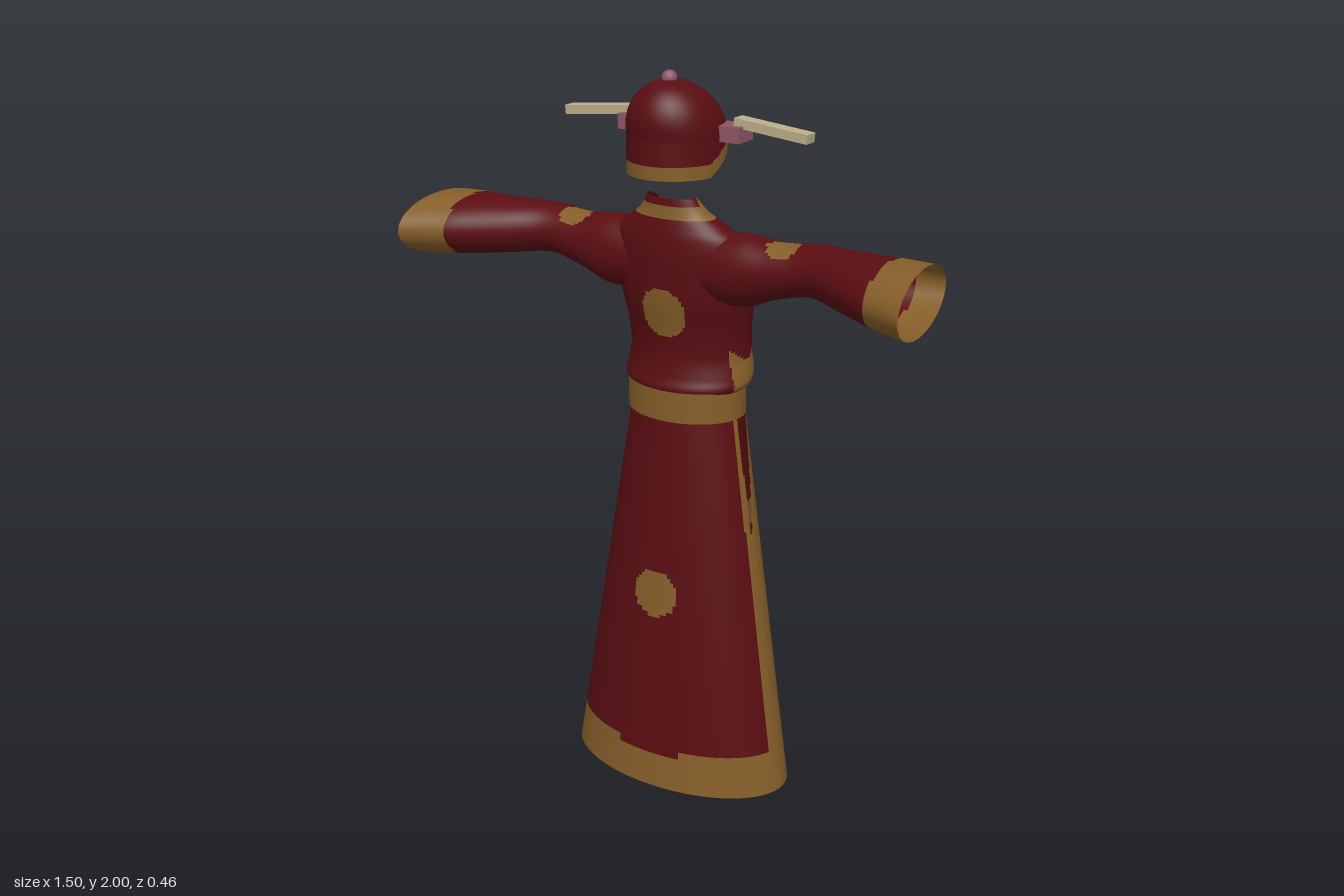
import * as THREE from 'three';

const mat = (name, color) => {
  const m = new THREE.MeshStandardMaterial({ color, side: THREE.DoubleSide });
  m.name = name;
  return m;
};

// Smooth (Hermite) lookup in rows of [position, value, value, ...]
function lookup(rows, p) {
  let i = 0;
  while (i < rows.length - 2 && p > rows[i + 1][0]) i++;
  const a = rows[i], b = rows[i + 1], h = b[0] - a[0];
  const before = rows[Math.max(i - 1, 0)], after = rows[Math.min(i + 2, rows.length - 1)];
  const t = THREE.MathUtils.clamp((p - a[0]) / h, 0, 1), t2 = t * t, t3 = t2 * t;
  return a.slice(1).map((va, k) => {
    const vb = b[k + 1];
    const ma = (vb - before[k + 1]) / (b[0] - before[0]) * h;
    const mb = (after[k + 1] - va) / (after[0] - a[0]) * h;
    return va * (2 * t3 - 3 * t2 + 1) + ma * (t3 - 2 * t2 + t) + vb * (3 * t2 - 2 * t3) + mb * (t3 - t2);
  });
}

const RED = 0, GOLD = 1, HOLE = -1;

// Closed rings lofted along v; paint picks a cloth colour, or a hole, for each cell
function loft(name, nu, nv, point, paint, materials) {
  const pos = [], lists = [[], []];
  for (let j = 0; j <= nv; j++)
    for (let i = 0; i < nu; i++) pos.push(...point(i / nu * Math.PI * 2, j / nv));
  for (let j = 0; j < nv; j++) {
    for (let i = 0; i < nu; i++) {
      const a = j * nu + i, b = j * nu + (i + 1) % nu, c = b + nu, d = a + nu;
      const mid = [0, 1, 2].map(k => (pos[a * 3 + k] + pos[b * 3 + k] + pos[c * 3 + k] + pos[d * 3 + k]) / 4);
      const tone = paint(...mid);
      if (tone !== HOLE) lists[tone].push(a, b, c, a, c, d);
    }
  }
  const geo = new THREE.BufferGeometry();
  geo.setAttribute('position', new THREE.Float32BufferAttribute(pos, 3));
  geo.setIndex([...lists[0], ...lists[1]]);
  geo.addGroup(0, lists[0].length, 0);
  geo.addGroup(lists[0].length, lists[1].length, 1);
  geo.computeVertexNormals();
  const mesh = new THREE.Mesh(geo, materials);
  mesh.name = name;
  return mesh;
}

// Point on an oval ring from half width, front z and back z
const oval = (u, y, hw, zf, zb) =>
  [Math.sin(u) * hw, y, (zf + zb) / 2 + Math.cos(u) * (zf - zb) / 2];

// Round woven medallions, mirrored across x
const inSpots = (spots, x, y, z) =>
  spots.some(([sx, sy, sz, r]) => Math.hypot(Math.abs(x) - sx, y - sy, z - sz) < r);

// Distance from (x, y) to a line through p and q, signed
const lineSide = (x, y, [px, py], [qx, qy]) =>
  ((qx - px) * (y - py) - (qy - py) * (x - px)) / Math.hypot(qx - px, qy - py);

// height, half width, front z, back z
const TORSO = [
  [1.15, .16, .065, -.175], [1.17, .18, .07, -.192], [1.195, .182, .06, -.208],
  [1.25, .174, .05, -.205], [1.32, .178, .055, -.195], [1.40, .19, .07, -.184],
  [1.47, .195, .076, -.163], [1.53, .194, .078, -.13], [1.58, .177, .074, -.1],
  [1.61, .14, .068, -.08], [1.64, .1, .062, -.05], [1.68, .07, .058, -.02],
];
// distance out, centre y, half height, centre z, half depth
const SLEEVE = [
  [.08, 1.5, .085, -.02, .078], [.2, 1.502, .096, -.02, .082], [.3, 1.514, .073, -.023, .076],
  [.4, 1.53, .067, -.024, .077], [.5, 1.528, .073, .004, .105], [.6, 1.525, .08, .032, .137],
  [.66, 1.523, .084, .042, .154], [.73, 1.522, .084, .055, .175],
];
const capRim = z => 1.74 + .55 * Math.max(0, .03 - z);

export function createModel() {
  const red = mat('darkRedCloth', 0x5a0d12), gold = mat('goldBrocade', 0x855e29);
  const pink = mat('dustyPink', 0x8f5665), ivory = mat('ivory', 0xbcae88);
  const cloth = [red, gold];
  const model = new THREE.Group();
  model.name = 'robeAndCap';

  // Skirt with gold hem, placket, side panels and open side slits
  const skirtSpots = [[0, .58, .109, .068], [.155, .76, -.155, .04], [.18, .34, -.175, .04]];
  model.add(loft('skirt', 160, 100,
    (u, v) => {
      const y = v * 1.11;
      return oval(u, y, .335 - .158 * y, .16 - .088 * y, -.23 + .037 * y);
    },
    (x, y, z) => {
      const ax = Math.abs(x);
      if (y > .76 && z < -.045 && z > -.05 - .05 * (y - .76) / .31 && ax > .1) return HOLE;
      if (y < .12 - .015 * (ax < .1)) return GOLD;
      if (ax > .1 && z > -.113 && z < -.03 * y) return GOLD;
      if (z < -.113 && ax < .115 - .035 * y) return ax < .008 && y < 1.04 ? RED : GOLD;
      return inSpots(skirtSpots, x, y, z) ? GOLD : RED;
    }, cloth));

  // Belt
  model.add(loft('belt', 96, 4,
    (u, v) => oval(u, 1.08 + .085 * v, .168, .076, -.19), () => GOLD, cloth));

  // Bodice with crossed lapels, neck opening and armholes
  const torsoSpots = [[0, 1.375, .066, .068], [.14, 1.45, -.132, .042]];
  const lapelTop = [-.075, 1.66], lapelEnd = [.165, 1.17];
  model.add(loft('bodice', 144, 80,
    (u, v) => {
      const y = 1.15 + .53 * v;
      return oval(u, y, ...lookup(TORSO, y));
    },
    (x, y, z) => {
      const ax = Math.abs(x);
      if (ax > .08) {
        const [cy, ry, cz, rz] = lookup(SLEEVE, ax);
        if (Math.hypot((y - cy) / ry, (z - cz) / rz) < .93) return HOLE;
      }
      if (z < .015) {
        if (y > 1.55 && ax < (y - 1.55) * .55) return HOLE;
        const over = lineSide(x, y, lapelTop, lapelEnd);
        if (z < -.02 && Math.abs(over) < .04) return GOLD;
        const under = lineSide(-x, y, lapelTop, lapelEnd);
        if (over > 0 && Math.abs(under) < .04) return GOLD;
      }
      if (y > 1.63 && y < 1.66) return GOLD;
      return inSpots(torsoSpots, x, y, z) ? GOLD : RED;
    }, cloth));

  // Flared sleeves with gold cuffs
  for (const s of [1, -1]) {
    model.add(loft(s > 0 ? 'leftSleeve' : 'rightSleeve', 64, 65,
      (u, v) => {
        const d = .08 + .65 * v, [cy, ry, cz, rz] = lookup(SLEEVE, d);
        return [s * (d + .02 * v * v * Math.cos(u)), cy - s * Math.sin(u) * ry, cz + Math.cos(u) * rz];
      },
      (x, y, z) => Math.abs(x) > .635 || inSpots([[.32, 1.587, 0, .045]], x, y, z) ? GOLD : RED,
      cloth));
  }

  // Domed cap with a tilted rim and a peaked gold band
  const cap = new THREE.Group();
  cap.name = 'cap';
  cap.add(loft('capDome', 96, 50,
    (u, v) => {
      const phi = Math.PI / 2 * Math.max(0, (v - .4) / .6), r = Math.cos(phi);
      const z = -.006 + .138 * r * Math.cos(u) + .034 * Math.sin(phi);
      const y = v < .4 ? THREE.MathUtils.lerp(capRim(z), 1.84, v / .4) : 1.84 + .138 * Math.sin(phi);
      return [.126 * r * Math.sin(u), y, z];
    },
    (x, y, z) => {
      const peak = z < -.05 ? Math.max(0, .05 - Math.abs(x)) : 0;
      return y < capRim(z) + .035 + peak ? GOLD : RED;
    }, cloth));

  const add = (name, geo, material, x, y, z, tilt = 0) => {
    const mesh = new THREE.Mesh(geo, material);
    mesh.name = name;
    mesh.position.set(x, y, z);
    mesh.rotation.z = tilt;
    cap.add(mesh);
  };
  // Top button, cross bar and slender side wings
  add('capButton', new THREE.SphereGeometry(.02, 20, 14), pink, 0, 1.98, .03);
  add('wingBar', new THREE.BoxGeometry(.365, .04, .07), pink, 0, 1.847, -.04);
  for (const s of [1, -1])
    add('capWing', new THREE.BoxGeometry(.21, .024, .04), ivory, s * .26, 1.865, -.045, -s * .1);
  model.add(cap);

  return model;
}
